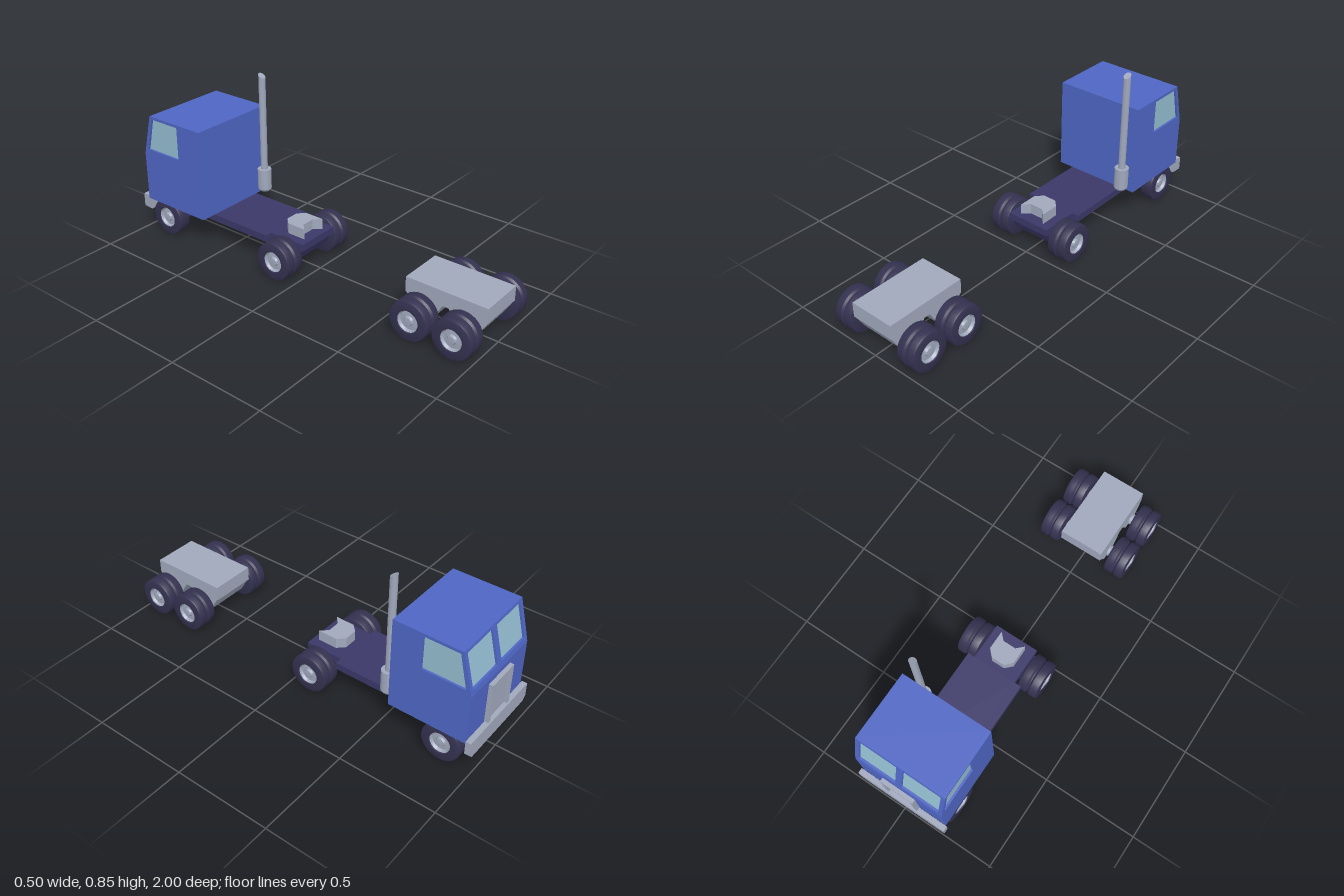
import * as THREE from 'three';
import { toCreasedNormals } from 'three/addons/utils/BufferGeometryUtils.js';

const mat = (name, color) => {
  const m = new THREE.MeshStandardMaterial({ color });
  m.name = name;
  return m;
};

export function createModel() {
  const root = new THREE.Group();
  root.name = 'truckAndTrailerBogie';
  const blue = mat('cabBlue', 0x4f66c4);
  const grey = mat('metalGrey', 0xa0a8bc);
  const dark = mat('chassisPurple', 0x3b3868);
  const rubber = mat('tyreRubber', 0x343150);
  const glass = mat('windowGlass', 0x92bccf);

  const add = (name, geo, material, parent = root) => {
    const m = new THREE.Mesh(geo, material);
    m.name = name;
    parent.add(m);
    return m;
  };
  const vecs = pts => pts.map(p => new THREE.Vector2(...p));
  const extrude = (pts, depth, holes = []) => {
    const s = new THREE.Shape(vecs(pts));
    holes.forEach(h => s.holes.push(new THREE.Path(vecs(h))));
    return new THREE.ExtrudeGeometry(s, { depth, bevelEnabled: false });
  };
  // Side profile given as (-z, y), extruded from x0 to x1
  const sideways = (pts, x0, x1, holes) =>
    extrude(pts, x1 - x0, holes).rotateY(Math.PI / 2).translate(x0, 0, 0);
  // Plan outline given as (x, -z), extruded from y0 to y1
  const upward = (pts, y0, y1) =>
    extrude(pts, y1 - y0).rotateX(-Math.PI / 2).translate(0, y0, 0);
  const rect = (x0, y0, x1, y1) => [[x0, y0], [x1, y0], [x1, y1], [x0, y1]];
  const lathe = (pts, seg) => toCreasedNormals(new THREE.LatheGeometry(vecs(pts), seg), 0.5);

  // Cab: core, side skins with window openings, sloped windscreen frame
  const cab = new THREE.Group();
  cab.name = 'cab';
  root.add(cab);
  const W = 0.238, T = 0.015, B = 0.175, TOP = 0.652, K = 0.437;
  const slope = 0.055 / (TOP - K);
  add('cabBody', sideways([[0.568, B], [0.971, B], [0.971, K], [0.971 - T, K],
    [0.916 - T, TOP], [0.568, TOP]], -W + T, W - T), blue, cab);
  const profile = [[0.568, B], [0.971, B], [0.971, K], [0.916, TOP], [0.568, TOP]];
  const sideWindow = [[0.723, 0.463], [0.943, 0.463], [0.902, 0.637], [0.723, 0.637]];
  for (const s of [-1, 1]) {
    const inner = s * (W - T), outer = s * W, pane = s * (W - T + 0.004);
    add('cabSide', sideways(profile, Math.min(inner, outer), Math.max(inner, outer), [sideWindow]), blue, cab);
    add('sideWindow', sideways(sideWindow, Math.min(inner, pane), Math.max(inner, pane)), glass, cab);
  }
  // Leans an upright plate back to match the windscreen slope
  const lean = (geo, offset) => {
    const p = geo.attributes.position;
    for (let i = 0; i < p.count; i++) {
      const y = p.getY(i);
      p.setXYZ(i, p.getX(i), K + y, -0.971 + slope * y + p.getZ(i) + offset);
    }
    geo.computeVertexNormals();
    return geo;
  };
  const panes = [rect(-0.217, 0.026, -0.017, 0.2), rect(0.017, 0.026, 0.217, 0.2)];
  add('windscreenFrame', lean(extrude(rect(-W + T, 0, W - T, TOP - K), T, panes), 0), blue, cab);
  panes.forEach(p => add('windscreen', lean(extrude(p, 0.004), T - 0.004), glass, cab));

  // Grille and bumper
  add('grilleFrame', extrude(rect(-0.09, 0.18, 0.09, 0.41), 0.022, [rect(-0.073, 0.19, 0.073, 0.393)])
    .translate(0, 0, -0.992), grey);
  add('grillePanel', new THREE.BoxGeometry(0.15, 0.21, 0.008).translate(0, 0.29, -0.974), grey);
  add('bumper', extrude([[-0.225, 0.105], [0.225, 0.105], [0.247, 0.127], [0.247, 0.197],
    [-0.247, 0.197], [-0.247, 0.127]], 0.027).translate(0, 0, -1), grey);

  // Chassis, narrowed between the wheels at both ends
  const half = [[0.12, 0.015], [0.12, 0.215], [0.157, 0.215], [0.157, 0.735], [0.12, 0.735], [0.12, 0.971]];
  add('chassis', upward([...half, ...half.map(([x, z]) => [-x, z]).reverse()], 0.138, 0.175), dark);

  // Coupling plate with a notch at its rear
  const plate = [[0.035, 0.08], [0.07, 0.045], [0.07, 0.147], [0.035, 0.183]];
  add('couplingPlate', upward([...plate, ...plate.map(([x, z]) => [-x, z]).reverse()], 0.172, 0.23), grey);

  // Tapered block that carries an axle
  const axleBlock = (z, top, r, material, parent) => add('axleBlock',
    sideways([[-z - 0.045, 0.07], [-z + 0.045, 0.07], [-z + r, top], [-z - r, top]], -0.119, 0.119),
    material, parent);

  // Wheel lathed around its axle, with outer face at x
  const makeWheel = (side, x, w, z, dual, parent) => {
    const g = new THREE.Group();
    g.name = dual ? 'dualWheel' : 'frontWheel';
    const m = w / 2;
    const groove = dual
      ? [[0.1, m - 0.012], [0.091, m - 0.003], [0.091, m + 0.003], [0.1, m + 0.012]] : [];
    add('tyre', lathe([[0, 0], [0.088, 0], [0.097, 0.004], [0.1, 0.012], ...groove,
      [0.1, w - 0.012], [0.097, w - 0.004], [0.088, w], [0.056, w], [0.052, w - 0.02]], 32), rubber, g);
    add('hub', lathe([[0.053, w - 0.004], [0.046, w - 0.018], [0.024, w - 0.016],
      [0.018, w - 0.006], [0, w - 0.004]], 32), grey, g);
    g.rotation.z = -side * Math.PI / 2;
    g.position.set(side * (x - w), 0.1, z);
    parent.add(g);
  };
  const axleSet = (z, x, w, dual, parent = root) => {
    add('axle', new THREE.CylinderGeometry(0.03, 0.03, 2 * (x - w) + 0.01, 20)
      .rotateZ(Math.PI / 2).translate(0, 0.1, z), grey, parent);
    for (const s of [-1, 1]) makeWheel(s, x, w, z, dual, parent);
  };
  axleSet(-0.844, 0.237, 0.07, false);
  axleSet(-0.107, 0.238, 0.11, true);
  axleBlock(-0.844, 0.14, 0.08, dark, root);
  axleBlock(-0.107, 0.14, 0.08, dark, root);

  // Trailer bogie
  const bogie = new THREE.Group();
  bogie.name = 'trailerBogie';
  root.add(bogie);
  add('bogieBody', new THREE.BoxGeometry(0.238, 0.076, 0.418).translate(0, 0.192, 0.791), grey, bogie);
  for (const z of [0.904, 0.683]) {
    axleBlock(z, 0.156, 0.096, grey, bogie);
    axleSet(z, 0.251, 0.108, true, bogie);
  }

  // Exhaust stack with slanted tip
  const exhaust = new THREE.Group();
  exhaust.name = 'exhaust';
  exhaust.position.set(0.186, 0, -0.531);
  root.add(exhaust);
  add('muffler', lathe([[0, 0.198], [0.028, 0.198], [0.036, 0.21], [0.036, 0.322], [0, 0.322]], 24), grey, exhaust);
  const pipe = new THREE.CylinderGeometry(0.018, 0.018, 0.536, 24).translate(0, 0.568, 0);
  const p = pipe.attributes.position;
  for (let i = 0; i < p.count; i++) {
    if (p.getY(i) > 0.8) p.setY(i, p.getY(i) - p.getZ(i) * 0.6);
  }
  add('pipe', toCreasedNormals(pipe, 0.5), grey, exhaust);

  return root;
}
